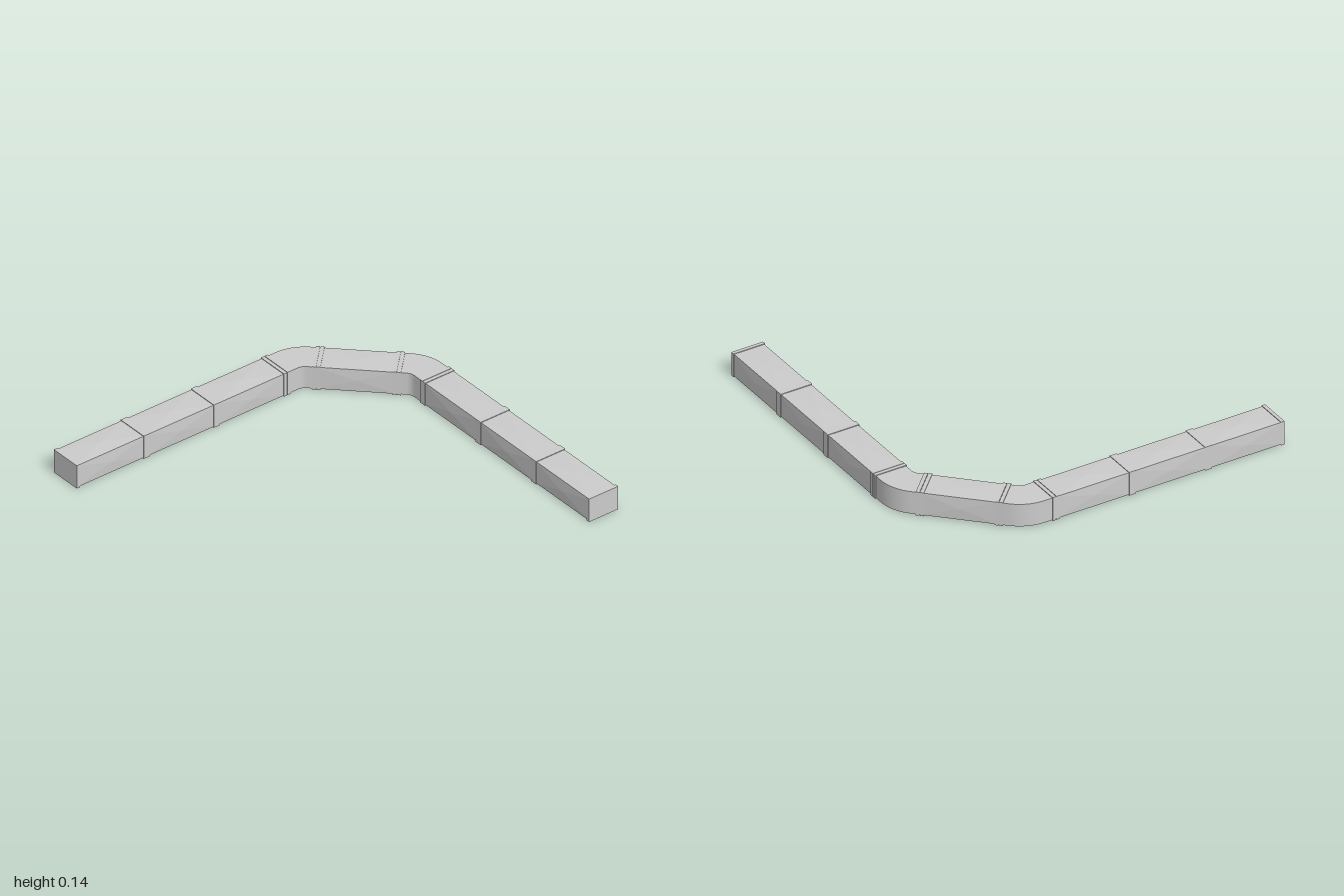
import * as THREE from 'three';
import { ConvexGeometry } from 'three/addons/geometries/ConvexGeometry.js';
import { toCreasedNormals } from 'three/addons/utils/BufferGeometryUtils.js';

const W = 0.185, H = 0.137; // outside size of the duct over its flanges
const INSET = 0.004;        // panels sit slightly inside the flanges
const MID = 1 - W / 2;      // distance of the arm centrelines from the origin
const BEND = { c: 0.76, z: 0.405, inner: 0.055, outer: 0.24, collar: 0.05 };

export function createModel() {
  const model = new THREE.Group();
  const material = new THREE.MeshStandardMaterial({ color: 0xcccccc, flatShading: true });
  const smooth = new THREE.MeshStandardMaterial({ color: 0xcccccc });

  const add = (parent, name, geometry, mat = material) => {
    const mesh = new THREE.Mesh(geometry, mat);
    mesh.name = name;
    parent.add(mesh);
    return mesh;
  };

  // Straight duct between two plan points [x, z], with cross-broken panels
  function straight(name, [x0, z0], [x1, z1]) {
    const group = new THREE.Group();
    group.name = name;
    const length = Math.hypot(x1 - x0, z1 - z0);
    const w = W / 2 - INSET, h = H / 2 - INSET, l = length / 2 - 0.002;
    const points = [];
    for (const s of [-1, 1]) {
      for (const t of [-1, 1]) for (const u of [-1, 1]) points.push(new THREE.Vector3(s * w, t * h, u * l));
      points.push(new THREE.Vector3(s * W / 2, 0, 0), new THREE.Vector3(0, s * H / 2, 0));
    }
    add(group, 'panels', new ConvexGeometry(points));
    for (const s of [-1, 1]) {
      add(group, 'flange', new THREE.BoxGeometry(W, H, 0.02)).position.z = s * (length / 2 - 0.01);
    }
    group.position.set((x0 + x1) / 2, H / 2, (z0 + z1) / 2);
    group.rotation.y = Math.atan2(x1 - x0, z1 - z0);
    model.add(group);
  }

  // 45 degree elbow, drawn in plan with y = -z; swapped for the second corner
  function elbow(name, swap) {
    const arc = (r) => {
      const pts = [new THREE.Vector2(-BEND.c - r, 0.335)];
      for (let i = 0; i <= 10; i++) {
        const a = Math.PI * (1 - i / 40);
        pts.push(new THREE.Vector2(-BEND.c + r * Math.cos(a), BEND.z + r * Math.sin(a)));
      }
      const d = BEND.collar * Math.SQRT1_2;
      pts.push(pts[pts.length - 1].clone().add(new THREE.Vector2(d, d)));
      return pts;
    };
    const outline = [...arc(BEND.outer - INSET), ...arc(BEND.inner + INSET).reverse()]
      .map((p) => (swap ? new THREE.Vector2(-p.y, -p.x) : p));
    const geometry = new THREE.ExtrudeGeometry(new THREE.Shape(outline), {
      depth: H - 2 * INSET, bevelEnabled: false,
    });
    geometry.rotateX(-Math.PI / 2).translate(0, INSET, 0);
    add(model, name, toCreasedNormals(geometry, 0.4), smooth);

    // Flange plates on both mouths of the elbow
    const mouths = [[-MID, -0.348, 0], [...diagonalEnd(BEND.collar - 0.012), -Math.PI / 4]];
    for (const [x, z, angle] of mouths) {
      const plate = add(model, 'elbowFlange', new THREE.BoxGeometry(W, H, 0.02));
      plate.position.set(swap ? z : x, H / 2, swap ? x : z);
      plate.rotation.y = swap ? Math.PI / 2 - angle : angle;
    }
  }

  // Centreline point beyond the bend, a given distance along the diagonal
  function diagonalEnd(distance) {
    const r = (BEND.inner + BEND.outer) / 2;
    return [-BEND.c + (distance - r) * Math.SQRT1_2, -BEND.z - (distance + r) * Math.SQRT1_2];
  }

  // Three equal lengths on each arm
  const pitch = 1.335 / 3;
  for (let i = 0; i < 3; i++) {
    const a = -0.335 + i * pitch, b = a + pitch;
    straight('sideDuct', [-MID, a], [-MID, b]);
    straight('rearDuct', [a, -MID], [b, -MID]);
  }

  // Corner: two elbows joined by a diagonal length
  elbow('sideElbow', false);
  elbow('rearElbow', true);
  const end = diagonalEnd(BEND.collar);
  straight('diagonalDuct', end, [end[1], end[0]]);

  return model;
}
